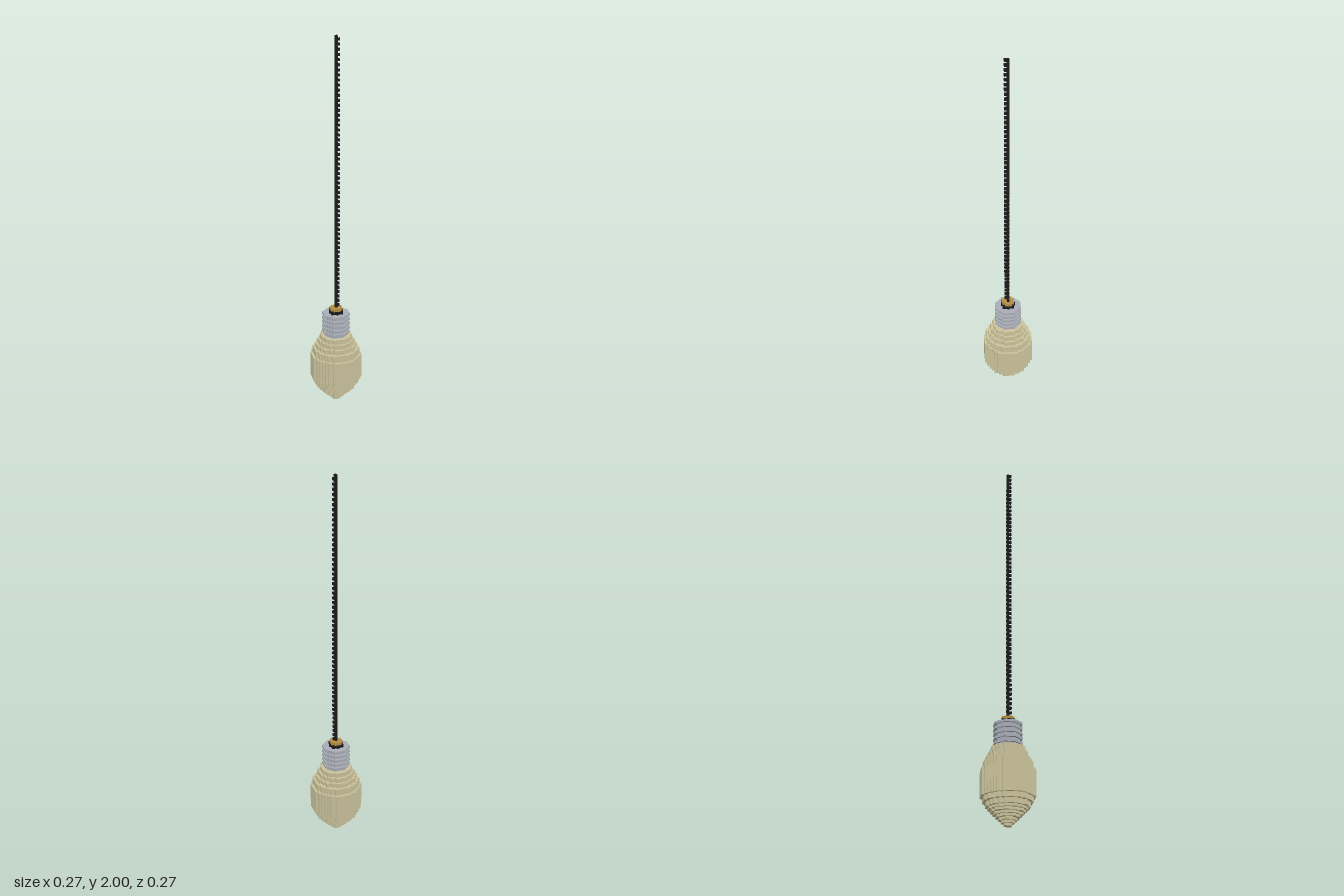
import * as THREE from 'three';
import { mergeGeometries } from 'three/addons/utils/BufferGeometryUtils.js';

const V = 2 / 158; // edge of one block

// Stepped round slab: block disc of odd diameter d, from layer y0 to layer y1
function blockDisc(d, y0, y1) {
  const r = d / 2, n = (d - 1) / 2;
  const right = [];
  for (let k = -n; k <= n; k++) {
    const half = Math.floor(Math.sqrt(r * r - k * k)) + 0.5;
    right.push(new THREE.Vector2(half * V, (k - 0.5) * V), new THREE.Vector2(half * V, (k + 0.5) * V));
  }
  const left = right.map((p) => new THREE.Vector2(-p.x, p.y)).reverse();
  const geo = new THREE.ExtrudeGeometry(new THREE.Shape([...right, ...left]), {
    depth: (y1 - y0) * V, bevelEnabled: false,
  });
  return geo.rotateX(-Math.PI / 2).translate(0, y0 * V, 0);
}

// Box given in block units: centre x, z and layers y0 to y1
function block(w, d, x, z, y0, y1) {
  return new THREE.BoxGeometry(w * V, (y1 - y0) * V, d * V).translate(x * V, ((y0 + y1) / 2) * V, z * V);
}

export function createModel() {
  const glass = new THREE.MeshStandardMaterial({ name: 'cream glass', color: 0xc9c29b });
  const metal = new THREE.MeshStandardMaterial({ name: 'grey metal', color: 0xa9adb6 });
  const black = new THREE.MeshStandardMaterial({ name: 'black rubber', color: 0x1a1a1c });
  const brass = new THREE.MeshStandardMaterial({ name: 'brass', color: 0xb38d42 });

  const model = new THREE.Group();
  model.name = 'hangingBulb';
  const add = (name, parts, material) => {
    const mesh = new THREE.Mesh(mergeGeometries(parts), material);
    mesh.name = name;
    model.add(mesh);
  };

  // Glass bulb: [diameter, layers] from the tip upwards
  const profile = [
    [3, 1], [5, 1], [7, 1], [9, 1], [11, 1], [13, 1], [15, 1], [17, 2], [19, 2],
    [21, 11], [19, 3], [17, 2], [15, 2], [13, 2],
  ];
  let y = 0;
  add('glassBulb', profile.map(([d, h]) => blockDisc(d, y, (y += h))), glass);

  // Screw base: alternating thread ridges
  const thread = [];
  for (let i = 31; i < 41; i++) thread.push(blockDisc(i % 2 ? 9 : 11, i, i + 1));
  add('screwBase', thread, metal);

  // Black insulator with a small tab on each side, and the brass contact
  add('insulator', [
    block(5, 5, 0, 0, 41, 42.3),
    block(6, 1, 0, 0, 41, 42.3),
    block(1, 6, 0, 0, 41, 42.3),
  ], black);
  add('contact', [blockDisc(5, 42.3, 43.5)], brass);

  // Twisted cord: straight core with strands alternating between two sides
  const cord = [block(1, 1, 0, 0, 43, 158)];
  for (let i = 44; i < 158; i++) {
    cord.push(i % 2 ? block(1, 1, 0, 1, i, i + 1) : block(1, 1, 1, 0, i, i + 1));
  }
  add('cord', cord, black);

  return model;
}
